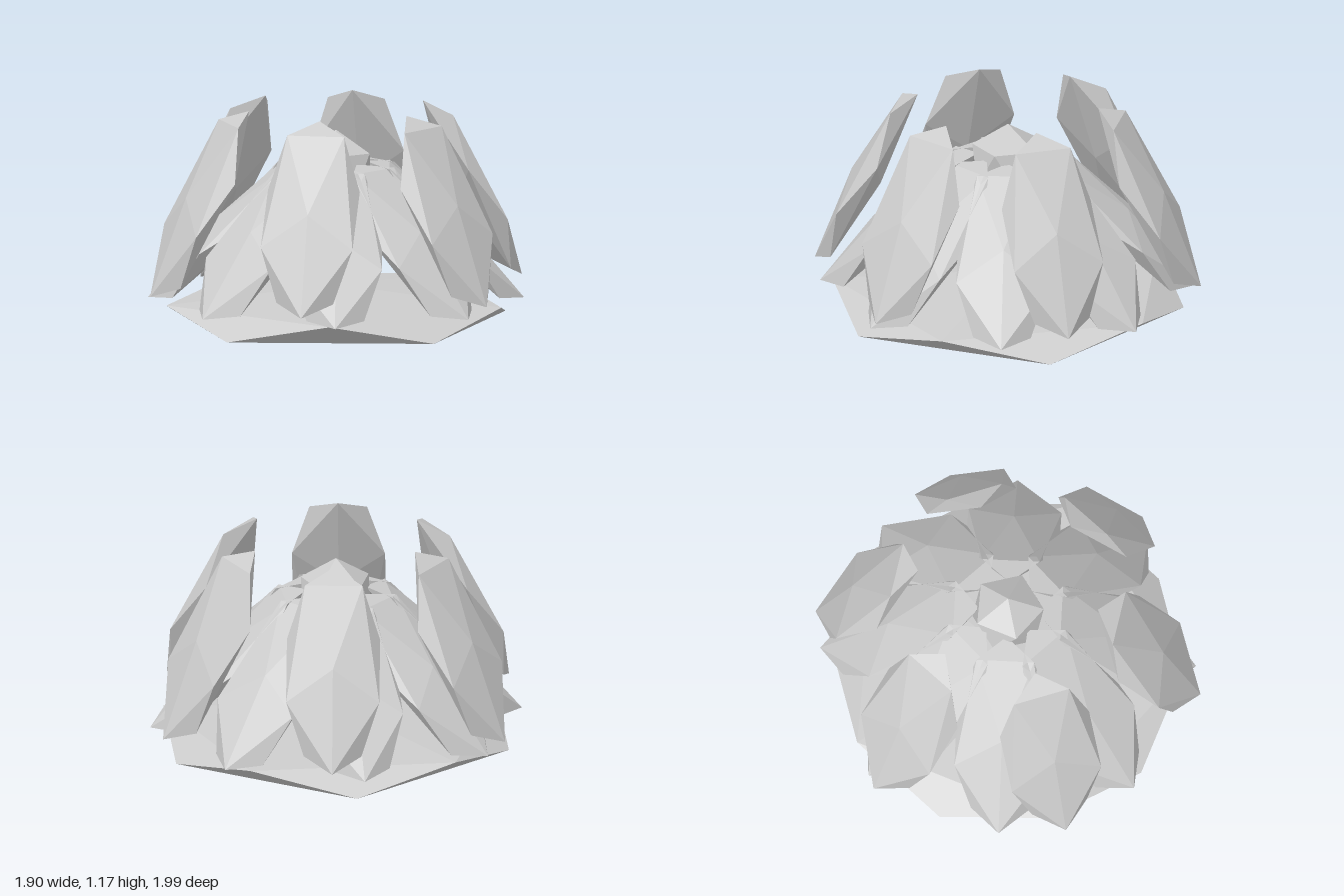
import * as THREE from 'three';

const material = new THREE.MeshStandardMaterial({ color: 0xcccccc, flatShading: true });

// Icosahedron with a corner on +y and one corner of its upper ring towards +x
function icosa(sx, sy, sz) {
  return new THREE.IcosahedronGeometry(1)
    .rotateX(-Math.atan((1 + Math.sqrt(5)) / 2))
    .rotateY(Math.PI / 2)
    .scale(sx, sy, sz);
}

function addMesh(parent, name, geometry, y) {
  const mesh = new THREE.Mesh(geometry, material);
  mesh.name = name;
  mesh.position.y = y;
  parent.add(mesh);
}

// Ring of flattened petals leaning inwards; lean is measured from upright
function petalRing(name, count, startDeg, radius, y, leanDeg) {
  const ring = new THREE.Group();
  ring.name = name + 's';
  const lean = THREE.MathUtils.degToRad(leanDeg);
  const geometry = icosa(0.6, 0.083, 0.28)
    .rotateZ(lean - Math.PI / 2)
    .translate(radius, 0, 0);
  for (let i = 0; i < count; i++) {
    const petal = new THREE.Mesh(geometry, material);
    petal.name = name;
    petal.position.y = y;
    petal.rotation.y = -THREE.MathUtils.degToRad(startDeg + (i * 360) / count);
    ring.add(petal);
  }
  return ring;
}

export function createModel() {
  const flower = new THREE.Group();
  flower.name = 'flower';

  // Flat base and central bud
  addMesh(flower, 'base', icosa(1.006, 0.125, 1.006), 0.125);
  addMesh(flower, 'bud', icosa(0.205, 0.205, 0.205), 0.845);

  // Eight low inner petals and six steeper outer petals
  flower.add(petalRing('innerPetal', 8, 25, 0.555, 0.535, 45));
  flower.add(petalRing('outerPetal', 6, 20, 0.74, 0.708, 26));
  return flower;
}
